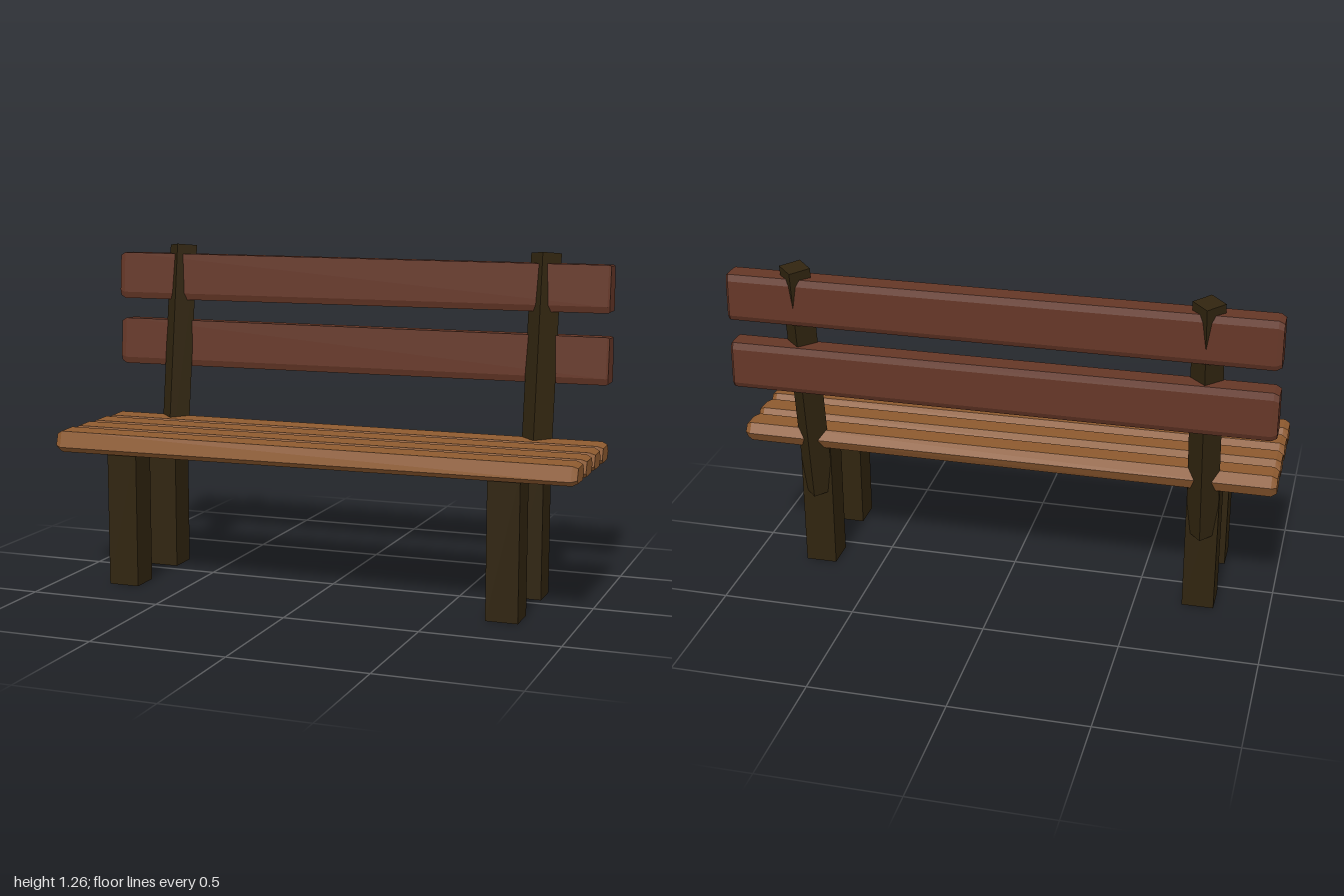
import * as THREE from 'three';

const mat = (name, color) => {
  const m = new THREE.MeshStandardMaterial({ color, flatShading: true });
  m.name = name;
  return m;
};

// Joins rings of [x, y, z] points, ordered top -> front -> bottom -> back, and caps both ends.
function loft(rings) {
  const pos = [];
  const n = rings[0].length;
  const tri = (a, b, c) => pos.push(...a, ...b, ...c);
  for (let r = 0; r < rings.length - 1; r++) {
    const a = rings[r], b = rings[r + 1];
    for (let i = 0; i < n; i++) {
      const j = (i + 1) % n;
      tri(a[i], a[j], b[j]);
      tri(a[i], b[j], b[i]);
    }
  }
  const first = rings[0], last = rings[rings.length - 1];
  for (let i = 1; i < n - 1; i++) {
    tri(first[0], first[i + 1], first[i]);
    tri(last[0], last[i], last[i + 1]);
  }
  const g = new THREE.BufferGeometry();
  g.setAttribute('position', new THREE.Float32BufferAttribute(pos, 3));
  g.computeVertexNormals();
  return g;
}

// Rough-hewn plank: section is [z, y] around its centre; stations are [x, zScale, yScale].
function plank(section, stations) {
  return loft(stations.map(([x, sz, sy]) => section.map(([z, y]) => [x, y * sy, z * sz])));
}

export function createModel() {
  const group = new THREE.Group();
  const seatWood = mat('seatWood', 0x8e5a2f);
  const backWood = mat('backWood', 0x643626);
  const darkWood = mat('darkWood', 0x30240f);

  const add = (name, geometry, material, x, y, z) => {
    const mesh = new THREE.Mesh(geometry, material);
    mesh.name = name;
    mesh.position.set(x, y, z);
    group.add(mesh);
    return mesh;
  };

  // Seat: four slats with a bevelled front and a pointed rear edge
  const seatSection = [
    [-0.043, 0.042], [0.047, 0.038], [0.064, -0.022],
    [0.042, -0.042], [-0.043, -0.04], [-0.065, 0.002],
  ];
  const seatStations = [[-1, 0.78, 0.72], [-0.98, 0.92, 1], [0.98, 1, 0.88], [1, 0.82, 0.66]];
  const seatGeometry = plank(seatSection, seatStations);
  for (let i = 0; i < 4; i++) add('seatSlat', seatGeometry, seatWood, 0, 0.542, 0.266 - i * 0.1367);

  // Backrest: two wide boards
  const backSection = [
    [-0.038, 0.09], [0.037, 0.092], [0.05, -0.065],
    [0.043, -0.09], [-0.04, -0.09], [-0.05, -0.07], [-0.047, 0.065],
  ];
  const backStations = [[-0.995, 0.86, 0.88], [-0.975, 0.94, 1], [0.98, 1, 0.96], [0.988, 0.9, 0.92]];
  const backGeometry = plank(backSection, backStations);
  add('upperBackBoard', backGeometry, backWood, 0, 1.13, -0.263);
  add('lowerBackBoard', backGeometry, backWood, 0, 0.867, -0.263);

  // Legs and the leaning diamond-section posts, mirrored left and right
  const legGeometry = new THREE.BoxGeometry(0.118, 0.53, 0.118);
  const postGeometry = new THREE.CylinderGeometry(0.0575, 0.0575, 0.955, 4);
  for (const side of [-1, 1]) {
    const label = side > 0 ? 'left' : 'right';
    add(label + 'FrontLeg', legGeometry, darkWood, side * 0.737, 0.265, 0.233);
    add(label + 'RearLeg', legGeometry, darkWood, side * 0.737, 0.265, -0.104);
    const post = add(label + 'BackPost', postGeometry, darkWood, side * 0.737, 0.781, -0.2095);
    post.rotation.x = -0.1335;
  }
  return group;
}
